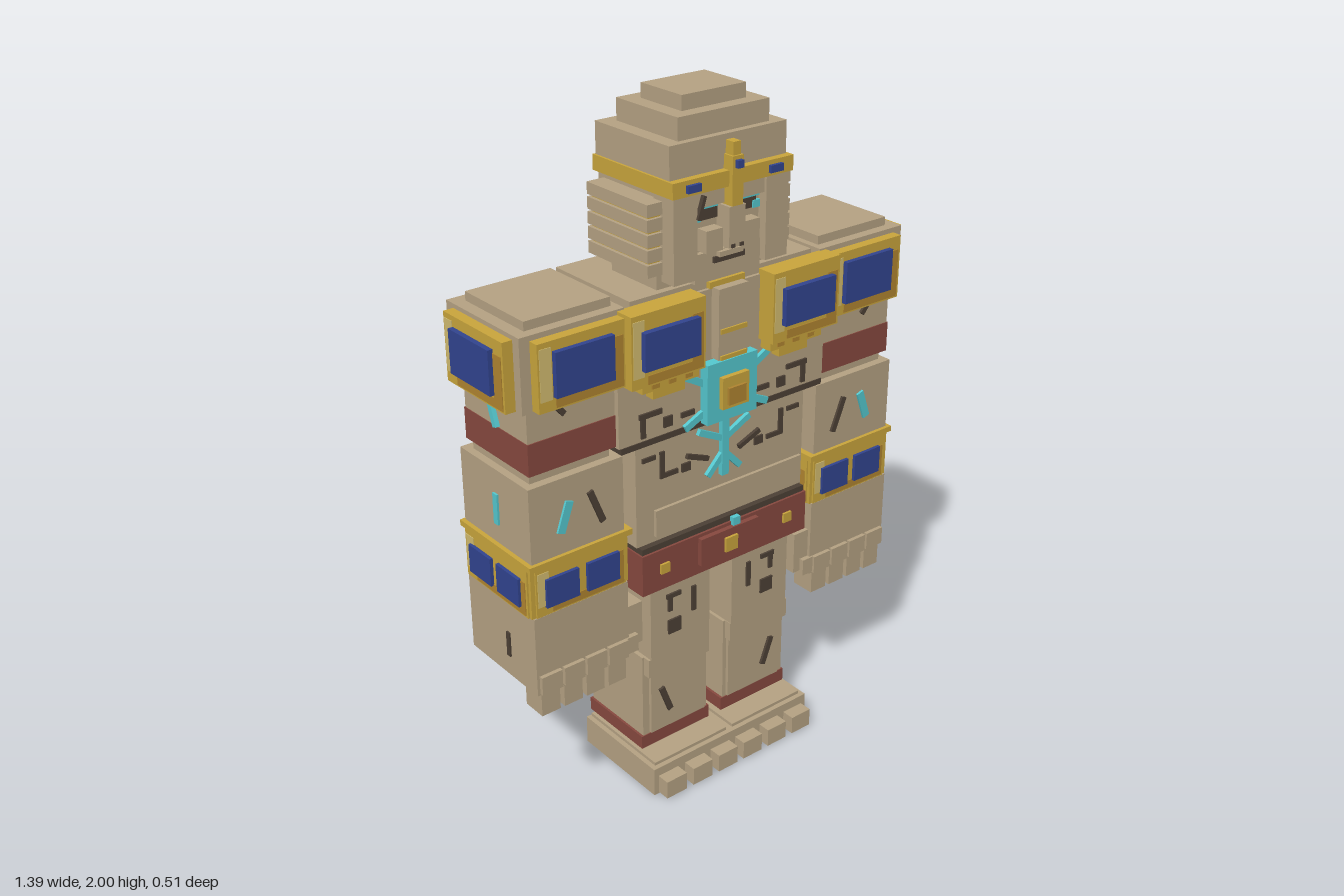
import * as THREE from 'three';

const mat = (name, color) => Object.assign(new THREE.MeshStandardMaterial({ color }), { name });

export function createModel() {
  const stone = mat('stone', 0xb5a283), gold = mat('gold', 0xc9a53c), paleGold = mat('pale gold', 0xd2bc70),
    deepGold = mat('deep gold', 0xb08430), blue = mat('blue', 0x32448f), cyan = mat('cyan', 0x55c8cf),
    clay = mat('clay red', 0x87493f), dark = mat('dark brown', 0x4c4035);
  const model = new THREE.Group();
  model.name = 'stoneGuardian';

  // Box given by its limits on each axis
  const box = (name, m, x0, x1, y0, y1, z0, z1, parent = model) => {
    const mesh = new THREE.Mesh(new THREE.BoxGeometry(Math.abs(x1 - x0), y1 - y0, z1 - z0), m);
    mesh.position.set((x0 + x1) / 2, (y0 + y1) / 2, (z0 + z1) / 2);
    mesh.name = name;
    parent.add(mesh);
    return mesh;
  };
  // Mirrored pair of boxes
  const pair = (name, m, x0, x1, ...rest) => {
    box(name + 'Left', m, x0, x1, ...rest);
    box(name + 'Right', m, -x0, -x1, ...rest);
  };
  // Thin slanted bar on a front face
  const bar = (name, m, ax, ay, bx, by, w, z) => {
    const mesh = new THREE.Mesh(new THREE.BoxGeometry(Math.hypot(bx - ax, by - ay), w, 0.012), m);
    mesh.position.set((ax + bx) / 2, (ay + by) / 2, z);
    mesh.rotation.z = Math.atan2(by - ay, bx - ax);
    mesh.name = name;
    model.add(mesh);
  };
  const bars = (name, m, ax, ay, bx, by, w, z) => {
    for (const s of [1, -1]) bar(name + (s > 0 ? 'Left' : 'Right'), m, s * ax, ay, s * bx, by, w, z);
  };
  // Gold plate with pale and deep edges and raised blue windows, turned about y
  const panel = (name, x, y, z, turn, w, h, d, windows, rise = 0.015) => {
    const g = new THREE.Group();
    g.name = name;
    g.position.set(x, y, z);
    g.rotation.y = turn;
    const X = w / 2, Y = h / 2, f = d + 0.002;
    box('plate', gold, -X, X, -Y, Y, 0, d, g);
    box('paleEdge', paleGold, -X + 0.005, -X + 0.04, -Y + 0.03, Y - 0.015, d - 0.004, f, g);
    box('deepEdge', deepGold, X - 0.045, X - 0.008, -Y + 0.005, Y - 0.04, d - 0.004, f, g);
    box('deepBase', deepGold, -X + 0.05, X - 0.045, -Y + 0.005, -Y + 0.03, d - 0.004, f, g);
    for (const [cx, cy, ww, hh] of windows)
      box('window', blue, cx - ww / 2, cx + ww / 2, cy - hh / 2, cy + hh / 2, d, d + rise, g);
    model.add(g);
    return g;
  };

  // Feet and toes
  box('footSlab', stone, -0.295, 0.295, 0, 0.09, -0.12, 0.21);
  pair('footTop', stone, 0.012, 0.28, 0.09, 0.1, -0.115, 0.195);
  for (const x of [0.048, 0.145, 0.243]) pair('toe', stone, x - 0.036, x + 0.036, 0.005, 0.062, 0.2, 0.25);

  // Legs
  pair('ankleBase', stone, 0.04, 0.26, 0.09, 0.12, -0.11, 0.12);
  pair('anklet', clay, 0.024, 0.275, 0.108, 0.15, -0.125, 0.128);
  pair('shin', stone, 0.032, 0.268, 0.15, 0.42, -0.12, 0.125);
  pair('shinPlate', stone, 0.045, 0.245, 0.155, 0.36, 0.12, 0.135);
  pair('knee', stone, 0.04, 0.262, 0.36, 0.42, 0.1, 0.148);
  pair('thigh', stone, 0.042, 0.255, 0.42, 0.67, -0.12, 0.15);
  bars('shinCrack', dark, 0.21, 0.3, 0.178, 0.215, 0.018, 0.137);
  pair('thighSquare', dark, 0.15, 0.195, 0.485, 0.53, 0.148, 0.156);
  pair('thighLine', dark, 0.095, 0.11, 0.53, 0.61, 0.148, 0.156);
  pair('thighDash', dark, 0.18, 0.195, 0.56, 0.61, 0.148, 0.156);
  pair('thighTop', dark, 0.15, 0.2, 0.602, 0.616, 0.148, 0.156);

  // Belt
  box('belt', clay, -0.3, 0.3, 0.66, 0.785, -0.175, 0.175);
  box('beltLine', dark, -0.295, 0.295, 0.785, 0.803, -0.168, 0.168);
  box('buckle', clay, -0.105, 0.105, 0.69, 0.775, 0.17, 0.19);
  box('buckleStud', gold, -0.022, 0.022, 0.708, 0.752, 0.188, 0.198);
  pair('beltStud', gold, 0.21, 0.24, 0.712, 0.742, 0.172, 0.182);
  box('beltGem', cyan, 0.015, 0.04, 0.775, 0.8, 0.17, 0.185);

  // Abdomen
  box('abdomen', stone, -0.3, 0.3, 0.803, 1.11, -0.16, 0.15);
  box('abdomenPlate', stone, -0.24, 0.29, 0.82, 0.9, 0.145, 0.16);
  box('lowerBackLine', dark, -0.29, 0.29, 0.92, 0.937, -0.168, -0.155);
  box('lowerBackPlate', stone, -0.18, 0.18, 0.865, 1.035, -0.19, -0.155);
  box('stem', cyan, -0.012, 0.012, 0.935, 1.115, 0.148, 0.165);
  bars('stemBranch', cyan, 0.01, 1.05, 0.09, 1.09, 0.018, 0.156);
  bars('stemRoot', cyan, 0.005, 1.0, 0.058, 0.945, 0.018, 0.156);
  bars('bellyCrack', dark, 0.055, 1.0, 0.13, 1.03, 0.014, 0.154);
  pair('bellyMarkTall', dark, 0.205, 0.22, 1.0, 1.07, 0.147, 0.156);
  pair('bellyMarkFoot', dark, 0.16, 0.22, 0.99, 1.004, 0.147, 0.156);
  pair('bellySquare', dark, 0.115, 0.145, 0.985, 1.01, 0.147, 0.156);
  pair('bellyDash', dark, 0.235, 0.28, 1.055, 1.068, 0.147, 0.156);

  // Chest and back
  box('waistLine', dark, -0.355, 0.355, 1.108, 1.125, -0.195, 0.163);
  box('chest', stone, -0.36, 0.36, 1.125, 1.495, -0.2, 0.16);
  box('yoke', stone, -0.31, 0.31, 1.49, 1.52, -0.17, 0.15);
  box('backPlate', stone, -0.235, 0.235, 1.17, 1.48, -0.228, -0.19);
  for (const y of [1.35, 1.235]) box('backStud', stone, -0.029, 0.029, y - 0.029, y + 0.029, -0.256, -0.22);
  box('sternum', stone, -0.05, 0.05, 1.3, 1.5, 0.15, 0.19);
  box('sternumBand', gold, -0.045, 0.045, 1.375, 1.388, 0.185, 0.195);
  box('sternumBandLow', gold, -0.045, 0.045, 1.3, 1.312, 0.185, 0.195);
  box('collarTrim', gold, -0.06, 0.06, 1.497, 1.515, 0.145, 0.165);
  for (const s of [1, -1]) {
    panel('chestPanel', s * 0.237, 1.41, 0.155, 0, 0.24, 0.2, 0.062, [[0, 0.002, 0.18, 0.105]], 0.018);
    for (const x of [0.16, 0.215, 0.27]) box('panelNotch', deepGold, s * x - 0.012, s * x + 0.012, 1.29, 1.302, 0.2, 0.204);
  }
  pair('panelStep', gold, 0.125, 0.312, 1.282, 1.312, 0.155, 0.2);
  pair('panelTip', gold, 0.165, 0.27, 1.253, 1.282, 0.155, 0.19);
  pair('chestMarkTop', dark, 0.22, 0.295, 1.19, 1.205, 0.157, 0.166);
  pair('chestMarkTall', dark, 0.275, 0.29, 1.135, 1.19, 0.157, 0.166);
  pair('chestSquare', dark, 0.185, 0.215, 1.145, 1.175, 0.157, 0.166);
  pair('chestDash', dark, 0.11, 0.155, 1.155, 1.17, 0.157, 0.166);

  // Chest emblem
  box('emblem', cyan, -0.087, 0.087, 1.12, 1.295, 0.155, 0.19);
  box('emblemFrame', gold, -0.046, 0.046, 1.16, 1.252, 0.185, 0.205);
  box('emblemCore', deepGold, -0.03, 0.03, 1.172, 1.222, 0.2, 0.213);
  bars('emblemArm', cyan, 0.08, 1.235, 0.15, 1.275, 0.02, 0.165);
  bars('emblemFoot', cyan, 0.08, 1.15, 0.145, 1.12, 0.02, 0.165);

  // Shoulders and arms
  pair('shoulder', stone, 0.335, 0.65, 1.31, 1.515, -0.165, 0.16);
  pair('shoulderCap', stone, 0.355, 0.615, 1.515, 1.54, -0.13, 0.13);
  pair('upperArm', stone, 0.355, 0.63, 1.22, 1.31, -0.14, 0.145);
  pair('armBand', clay, 0.352, 0.632, 1.13, 1.22, -0.143, 0.148);
  pair('elbow', stone, 0.37, 0.62, 1.09, 1.13, -0.13, 0.13);
  pair('foreArm', stone, 0.345, 0.642, 0.88, 1.1, -0.16, 0.155);
  pair('elbowPlate', stone, 0.41, 0.56, 1.07, 1.19, -0.16, -0.135);
  pair('cuff', gold, 0.335, 0.648, 0.72, 0.87, -0.155, 0.155);
  pair('cuffRim', gold, 0.325, 0.655, 0.865, 0.882, -0.166, 0.166);
  bars('shoulderCrack', dark, 0.52, 1.275, 0.545, 1.305, 0.016, 0.147);
  bars('armGlow', cyan, 0.52, 1.03, 0.55, 0.945, 0.024, 0.156);
  bars('armCrack', dark, 0.455, 1.035, 0.415, 0.935, 0.018, 0.156);
  for (const s of [1, -1]) {
    const out = s * Math.PI / 2;
    panel('shoulderFrontPanel', s * 0.487, 1.408, 0.155, 0, 0.265, 0.185, 0.035, [[0, 0.004, 0.178, 0.122]]);
    panel('shoulderSidePanel', s * 0.645, 1.408, 0, out, 0.265, 0.19, 0.035, [[0, 0.004, 0.18, 0.122]]);
    const two = [[-0.066, -0.005, 0.104, 0.084], [0.066, -0.005, 0.104, 0.084]];
    panel('cuffFront', s * 0.49, 0.793, 0.15, 0, 0.29, 0.145, 0.01, two, 0.01);
    panel('cuffOuter', s * 0.643, 0.793, 0, out, 0.29, 0.145, 0.01, two, 0.01);
    panel('cuffInner', s * 0.34, 0.793, 0, -out, 0.29, 0.145, 0.01, two, 0.01);
    const back = panel('cuffBack', s * 0.49, 0.793, -0.15, Math.PI, 0.29, 0.145, 0.01, []);
    box('paleField', paleGold, -0.106, 0.1, -0.04, 0.058, 0.006, 0.012, back);
    const glow = box('upperArmGlow', cyan, s * 0.628, s * 0.643, 1.22, 1.315, -0.008, 0.008);
    glow.rotation.x = 0.35 * -1;
  }
  pair('foreArmGlow', cyan, 0.638, 0.648, 0.94, 1.03, -0.005, 0.015);

  // Hands
  pair('hand', stone, 0.34, 0.645, 0.48, 0.72, -0.157, 0.16);
  pair('thumb', stone, 0.285, 0.345, 0.5, 0.63, 0.03, 0.15);
  pair('thumbTip', stone, 0.31, 0.36, 0.488, 0.54, 0.05, 0.165);
  pair('handCrack', dark, 0.64, 0.65, 0.545, 0.62, 0.025, 0.04);
  for (let i = 0; i < 4; i++) {
    const x = 0.352 + i * 0.074;
    pair('finger', stone, x, x + 0.06, 0.41, 0.5, 0.085, 0.16);
    pair('knuckle', stone, x - 0.003, x + 0.063, 0.485, 0.54, 0.1, 0.172);
  }

  // Neck and head
  box('neck', stone, -0.15, 0.15, 1.5, 1.58, -0.1, 0.12);
  box('collar', stone, -0.208, 0.208, 1.515, 1.565, -0.06, 0.13);
  box('head', stone, -0.185, 0.185, 1.565, 1.78, -0.14, 0.15);
  box('chin', stone, -0.11, 0.11, 1.52, 1.6, 0.1, 0.165);
  pair('cheekGuard', stone, 0.115, 0.192, 1.54, 1.77, 0.1, 0.18);
  box('headBack', stone, -0.15, 0.15, 1.565, 1.84, -0.162, -0.13);
  box('headBackStripe', gold, -0.153, 0.153, 1.674, 1.688, -0.167, -0.13);
  box('headBand', gold, -0.2, 0.2, 1.77, 1.812, -0.145, 0.187);
  box('helmet', stone, -0.193, 0.193, 1.812, 1.9, -0.14, 0.165);
  box('helmetStep', stone, -0.15, 0.15, 1.9, 1.96, -0.105, 0.145);
  box('helmetTop', stone, -0.105, 0.105, 1.96, 2, -0.06, 0.105);

  // Ear covers with gold slits
  pair('earCore', gold, 0.18, 0.23, 1.57, 1.745, -0.11, 0.125);
  for (let i = 0; i < 5; i++) pair('earSlat', stone, 0.18, 0.24, 1.56 + i * 0.04, 1.593 + i * 0.04, -0.118, 0.135);

  // Face
  box('crestPost', gold, -0.018, 0.018, 1.72, 1.85, 0.15, 0.2);
  box('crestTip', gold, -0.012, 0.012, 1.85, 1.885, 0.16, 0.195);
  box('crestGem', blue, -0.01, 0.01, 1.82, 1.84, 0.198, 0.212);
  pair('bandGem', blue, 0.115, 0.158, 1.78, 1.8, 0.18, 0.197);
  pair('brow', stone, 0.02, 0.115, 1.725, 1.77, 0.14, 0.172);
  pair('browGlow', cyan, 0.03, 0.11, 1.715, 1.724, 0.148, 0.158);
  pair('eyeSocket', dark, 0.03, 0.1, 1.685, 1.714, 0.148, 0.156);
  pair('eye', cyan, 0.088, 0.112, 1.684, 1.704, 0.15, 0.16);
  box('nose', stone, -0.027, 0.027, 1.61, 1.72, 0.14, 0.2);
  pair('nostril', dark, 0.008, 0.02, 1.61, 1.62, 0.195, 0.203);
  pair('cheek', stone, 0.035, 0.09, 1.605, 1.665, 0.14, 0.185);
  box('mouth', dark, -0.052, 0.052, 1.568, 1.584, 0.16, 0.172);
  box('lip', stone, -0.04, 0.04, 1.584, 1.598, 0.15, 0.18);
  bar('scar', dark, -0.115, 1.7, -0.095, 1.76, 0.01, 0.181);

  return model;
}
